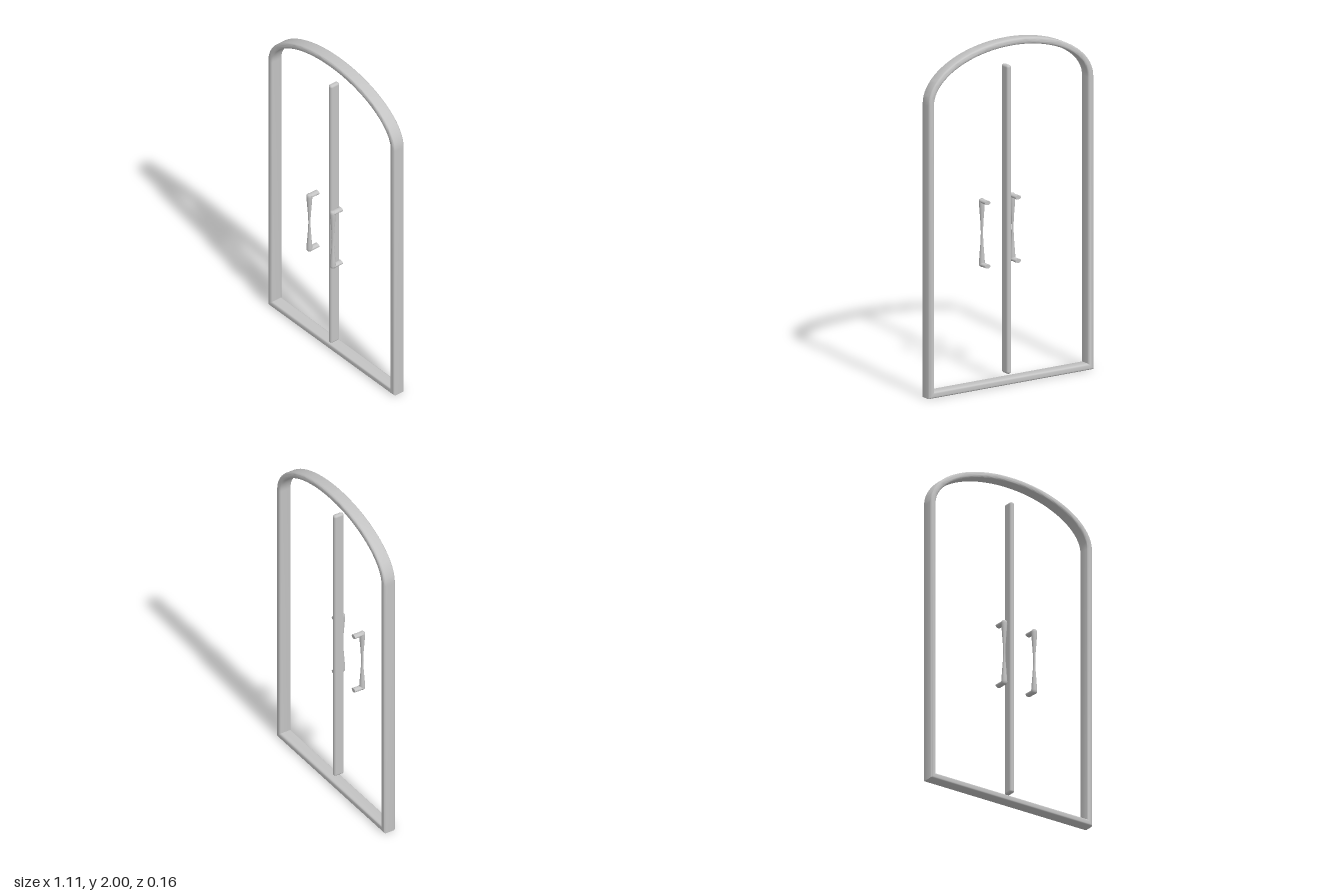
import * as THREE from 'three';
import { toCreasedNormals } from 'three/addons/utils/BufferGeometryUtils.js';
import { RoundedBoxGeometry } from 'three/addons/geometries/RoundedBoxGeometry.js';

const HALF_W = 0.556, SPRING = 1.7, RISE = 0.3, BAR = 0.037;

// Arched outline, moved inward by a constant distance
function outline(inset) {
  const pts = [new THREE.Vector2(-HALF_W + inset, inset), new THREE.Vector2(HALF_W - inset, inset)];
  const steps = 56;
  for (let i = 0; i <= steps; i++) {
    const t = (i / steps) * Math.PI;
    const n = new THREE.Vector2(Math.cos(t) / HALF_W, Math.sin(t) / RISE).normalize();
    pts.push(new THREE.Vector2(
      HALF_W * Math.cos(t) - n.x * inset,
      SPRING + RISE * Math.sin(t) - n.y * inset));
  }
  return pts;
}

// Closed arched frame with rounded edges
function frameGeometry() {
  const shape = new THREE.Shape(outline(0));
  shape.holes.push(new THREE.Path(outline(BAR)));
  const bevel = 0.013, depth = 0.077;
  const geo = new THREE.ExtrudeGeometry(shape, {
    depth: depth - 2 * bevel, bevelEnabled: true, bevelSize: bevel,
    bevelThickness: bevel, bevelOffset: -bevel, bevelSegments: 4,
  });
  geo.translate(0, 0, -0.082 + bevel);
  return toCreasedNormals(geo, 0.7);
}

// Pull handle: hourglass grip on two short posts
function createHandle(material) {
  const handle = new THREE.Group();
  handle.name = 'handle';
  const profile = [
    [0, -0.197], [0.011, -0.196], [0.0155, -0.19], [0.017, -0.178], [0.0145, -0.14],
    [0.0085, -0.06], [0.006, 0], [0.0085, 0.06], [0.0145, 0.14],
    [0.017, 0.178], [0.0155, 0.19], [0.011, 0.196], [0, 0.197],
  ].map(([r, y]) => new THREE.Vector2(r, y));
  const grip = new THREE.Mesh(new THREE.LatheGeometry(profile, 24), material);
  grip.name = 'grip';
  grip.position.set(0, 0.864, 0.064);
  handle.add(grip);

  for (const side of [-1, 1]) {
    const geo = new THREE.CylinderGeometry(0.017, 0.018, 0.058, 24);
    geo.rotateX(Math.PI / 2);
    geo.scale(1, 0.68, 1);
    const post = new THREE.Mesh(geo, material);
    post.name = side > 0 ? 'upperPost' : 'lowerPost';
    post.position.set(0, 0.864 + side * 0.184, 0.035);
    handle.add(post);
  }
  return handle;
}

export function createModel() {
  const model = new THREE.Group();
  model.name = 'archedDoorFrame';
  const metal = new THREE.MeshStandardMaterial({ color: 0xc4c4c4 });
  metal.name = 'light grey metal';

  const frame = new THREE.Mesh(frameGeometry(), metal);
  frame.name = 'archedFrame';
  model.add(frame);

  // Centre bar where the two doors meet
  const mullion = new THREE.Mesh(new RoundedBoxGeometry(0.03, 1.79, 0.064, 4, 0.013), metal);
  mullion.name = 'centreBar';
  mullion.position.set(0, 0.95, -0.029);
  model.add(mullion);

  for (const side of [-1, 1]) {
    const handle = createHandle(metal);
    handle.name = side > 0 ? 'leftHandle' : 'rightHandle';
    handle.position.x = side * 0.103;
    model.add(handle);
  }
  return model;
}
